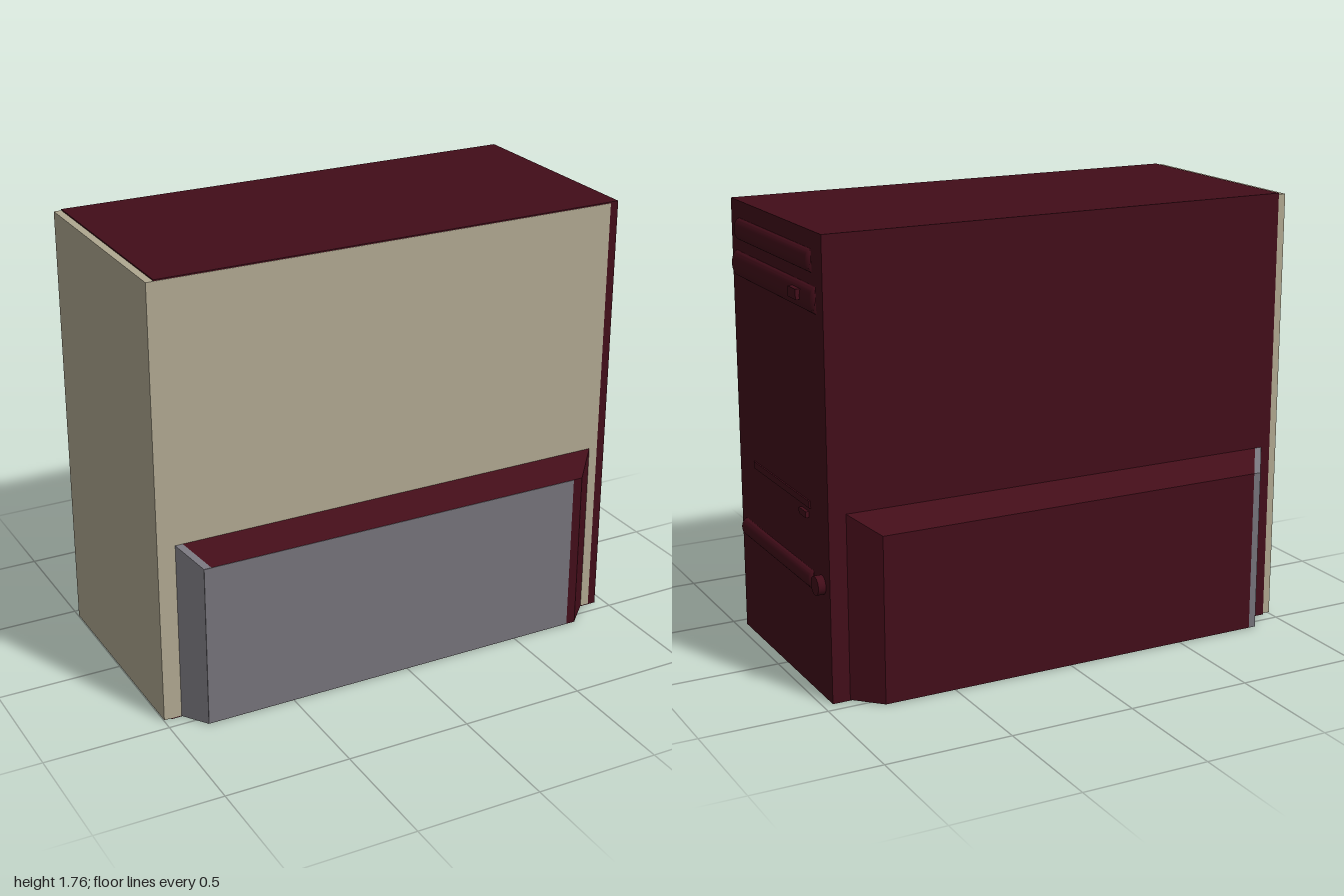
import * as THREE from 'three';
import { mergeVertices } from 'three/addons/utils/BufferGeometryUtils.js';

const paint = (color) => new THREE.MeshStandardMaterial({ color });
const maroon = paint(0x420d19);
const beige = paint(0xb0a890);
const grey = paint(0x75737a);

export function createModel() {
  const tower = new THREE.Group();
  tower.name = 'computerTower';

  function add(name, geometry, material) {
    const mesh = new THREE.Mesh(geometry, material);
    mesh.name = name;
    tower.add(mesh);
    return mesh;
  }

  // Box given by its extents on each axis
  function block(name, material, [x0, x1], [y0, y1], [z0, z1]) {
    const geometry = new THREE.BoxGeometry(x1 - x0, y1 - y0, z1 - z0);
    geometry.translate((x0 + x1) / 2, (y0 + y1) / 2, (z0 + z1) / 2);
    return add(name, geometry, material);
  }

  // Foot section tapering from the case wall (z 0.45) to its outer face (z 0.55)
  function taperedFoot(name, material, side, wall, outer) {
    const geometry = new THREE.BoxGeometry(1, 1, 1);
    const p = geometry.attributes.position;
    for (let i = 0; i < p.count; i++) {
      const isOuter = p.getZ(i) * side > 0;
      const x = (isOuter ? outer : wall)[p.getX(i) > 0 ? 1 : 0];
      const y = p.getY(i) > 0 ? (isOuter ? 0.66 : 0.73) : 0.003;
      p.setXYZ(i, x, y, side * (isOuter ? 0.55 : 0.45));
    }
    geometry.computeVertexNormals();
    return add(name, geometry, material);
  }

  // Rounded drive bezel running along z, softly shaded across its ends
  function bezel(name, y0, y1, z0, z1) {
    const shape = new THREE.Shape();
    shape.absellipse(0, 0, 0.025, (y1 - y0) / 2, -Math.PI / 2, Math.PI / 2, false);
    let geometry = new THREE.ExtrudeGeometry(shape, {
      depth: z1 - z0, bevelEnabled: false, curveSegments: 10,
    });
    geometry.deleteAttribute('normal');
    geometry.deleteAttribute('uv');
    geometry = mergeVertices(geometry);
    geometry.computeVertexNormals();
    geometry.translate(0.96, (y0 + y1) / 2, z0);
    return add(name, geometry, maroon);
  }

  // Case shell, side cover and rear panel
  block('caseShell', maroon, [-0.97, 0.96], [0, 1.76], [-0.45, 0.45]);
  block('sideCover', beige, [-0.97, 0.925], [0.005, 1.755], [0.44, 0.452]);
  block('rearPanel', beige, [-1, -0.97], [0.005, 1.755], [-0.45, 0.452]);

  // Stabilising feet on both sides, each with a grey end cap
  for (const side of [1, -1]) {
    taperedFoot('sideFoot', maroon, side, [-0.9, 0.89], [-0.83, 0.79]);
    taperedFoot('footEndCap', grey, side, [-0.93, -0.9], [-0.86, -0.83]);
  }
  block('footCover', grey, [-0.86, 0.75], [0.005, 0.66], [0.54, 0.552]);

  // Drive bezels
  bezel('upperDriveBezel', 1.61, 1.695, -0.355, 0.36);
  bezel('secondDriveBezel', 1.465, 1.565, -0.39, 0.395);
  bezel('lowerBezel', 0.405, 0.477, -0.3, 0.395);

  // Controls and small slots
  block('ejectButton', maroon, [0.96, 1], [1.503, 1.542], [-0.295, -0.222]);
  block('floppySlot', maroon, [0.95, 0.966], [0.715, 0.742], [-0.285, 0.285]);
  block('floppyButton', maroon, [0.95, 0.973], [0.673, 0.697], [-0.265, -0.197]);
  const button = add('powerButton', new THREE.CylinderGeometry(0.037, 0.037, 0.04, 24), maroon);
  button.rotation.z = -Math.PI / 2;
  button.position.set(0.97, 0.447, -0.376);

  return tower;
}
